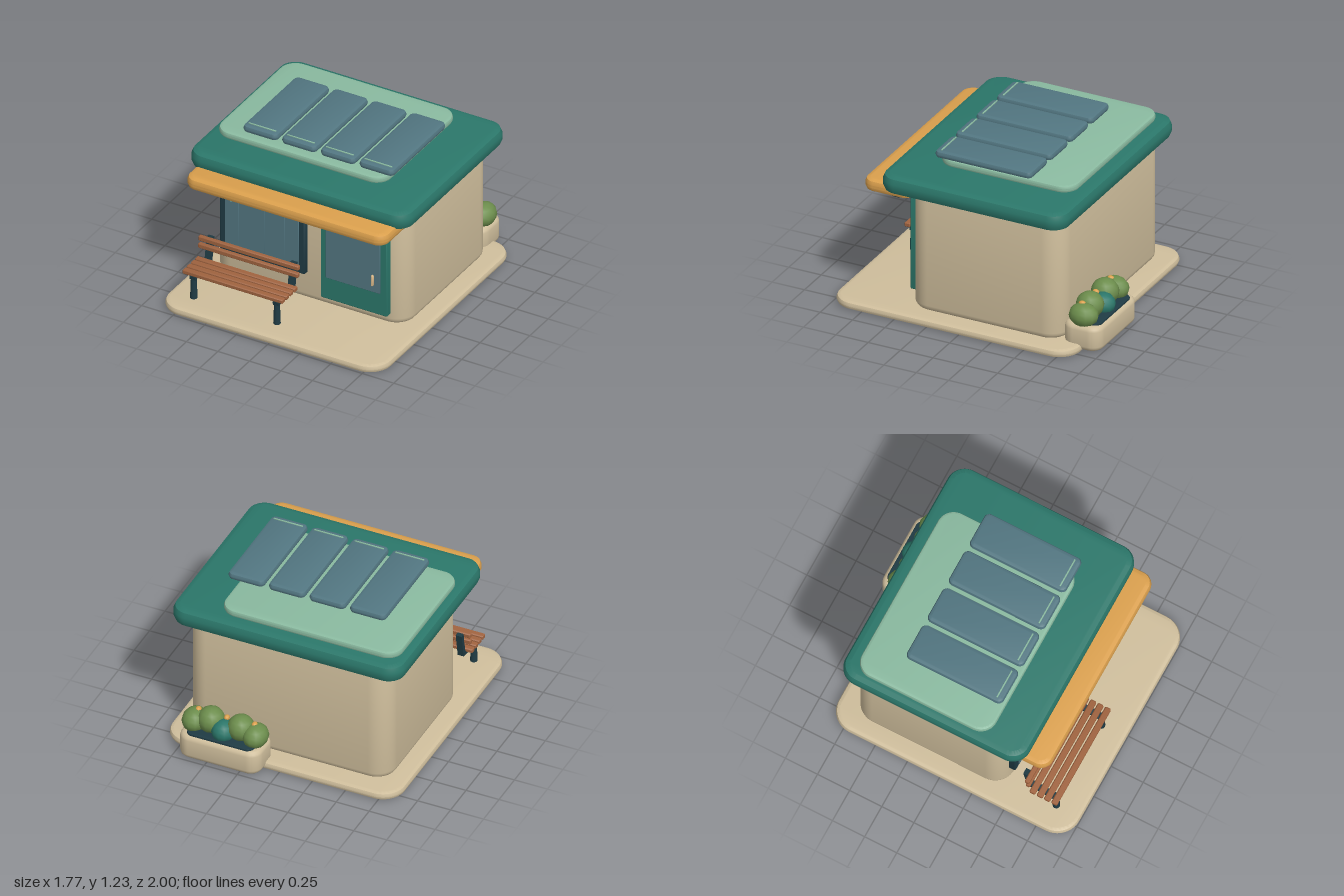
import * as THREE from 'three';
import { toCreasedNormals } from 'three/addons/utils/BufferGeometryUtils.js';

const flat = (name, color, side = THREE.FrontSide) => {
  const m = new THREE.MeshStandardMaterial({ color, side });
  m.name = name;
  return m;
};

export function createModel() {
  const model = new THREE.Group();
  model.name = 'kiosk';
  const stone = flat('stone', 0xcfbe9c);
  const teal = flat('teal', 0x2b776a);
  const mint = flat('mint', 0x8abaa0);
  const amber = flat('amber', 0xdba04d);
  const glass = flat('glass', 0x527681);
  const navy = flat('navy', 0x1f3b44);
  const wood = flat('wood', 0xa0633f);
  const leaf = flat('leaf', 0x6c8d4c);
  const brass = flat('brass', 0xd9b98a);

  const add = (name, geo, mat, parent = model) => {
    const mesh = new THREE.Mesh(geo, mat);
    mesh.name = name;
    parent.add(mesh);
    return mesh;
  };
  const group = (name) => {
    const g = new THREE.Group();
    g.name = name;
    model.add(g);
    return g;
  };

  // Rounded rectangle with bevelled rims, extruded along z, centred on the origin
  const rounded = (w, h, d, r, b, segments = 2) => {
    const s = new THREE.Shape();
    const x = w / 2, y = h / 2;
    s.moveTo(-x + r, -y);
    s.lineTo(x - r, -y).absarc(x - r, -y + r, r, -Math.PI / 2, 0);
    s.lineTo(x, y - r).absarc(x - r, y - r, r, 0, Math.PI / 2);
    s.lineTo(-x + r, y).absarc(-x + r, y - r, r, Math.PI / 2, Math.PI);
    s.lineTo(-x, -y + r).absarc(-x + r, -y + r, r, Math.PI, Math.PI * 1.5);
    const geo = new THREE.ExtrudeGeometry(s, {
      depth: d - 2 * b, bevelThickness: b, bevelSize: b, bevelOffset: -b,
      bevelSegments: segments, curveSegments: 8,
    });
    geo.translate(0, 0, b - d / 2);
    return toCreasedNormals(geo, 0.6);
  };
  // Lying slab: rounded in plan
  const slab = (name, mat, [x0, x1], [y0, y1], [z0, z1], r, b, parent, segments) => {
    const geo = rounded(x1 - x0, z1 - z0, y1 - y0, r, b, segments).rotateX(-Math.PI / 2);
    return add(name, geo.translate((x0 + x1) / 2, (y0 + y1) / 2, (z0 + z1) / 2), mat, parent);
  };
  // Standing panel: rounded as seen from the front
  const panel = (name, mat, [x0, x1], [y0, y1], [z0, z1], r, b, parent) => {
    const geo = rounded(x1 - x0, y1 - y0, z1 - z0, r, b, 1);
    return add(name, geo.translate((x0 + x1) / 2, (y0 + y1) / 2, (z0 + z1) / 2), mat, parent);
  };

  // Building shell
  slab('base', stone, [-0.884, 0.884], [0, 0.06], [-0.87, 1], 0.17, 0.028);
  slab('walls', stone, [-0.765, 0.765], [0.06, 1.0], [-0.735, 0.445], 0.15, 0.05, model, 4);
  slab('roof', teal, [-0.875, 0.875], [0.957, 1.09], [-0.8, 0.63], 0.13, 0.047);
  slab('roofDeck', mint, [-0.815, 0.535], [1.085, 1.138], [-0.7, 0.345], 0.12, 0.02);
  slab('canopy', amber, [-0.798, 0.798], [0.9, 0.992], [0.4, 0.79], 0.09, 0.036);
  slab('canopyLightStrip', brass, [-0.635, 0.645], [0.878, 0.905], [0.615, 0.655], 0.006, 0.004);

  // Solar panels with a thin mint line near the front edge
  const solar = group('solarPanels');
  for (let i = 0; i < 4; i++) {
    const x = -0.458 + i * 0.307;
    slab('solarPanel', glass, [x - 0.139, x + 0.139], [1.17, 1.225], [-0.42, 0.33], 0.04, 0.026, solar);
    slab('solarPanelLine', mint, [x - 0.11, x + 0.11], [1.223, 1.231], [0.277, 0.287], 0.003, 0.002, solar);
  }

  // Window
  const win = group('window');
  panel('windowFrame', navy, [-0.68, -0.005], [0.28, 0.825], [0.43, 0.485], 0.012, 0.008, win);
  panel('windowGlass', glass, [-0.635, -0.05], [0.32, 0.777], [0.48, 0.493], 0.005, 0.003, win);
  for (const [x0, x1] of [[-0.59, -0.525], [-0.38, -0.32], [-0.22, -0.16]]) {
    panel('windowStripe', glass, [x0, x1], [0.325, 0.765], [0.49, 0.498], 0.004, 0.002, win);
  }
  const glint = new THREE.CircleGeometry(0.062, 8, -Math.PI / 2, Math.PI / 2);
  glint.scale(0.6, 1, 1).translate(-0.59, 0.763, 0.5);
  add('windowGlint', glint, mint, win);

  // Door
  const door = group('door');
  panel('doorLeaf', teal, [0.12, 0.65], [0.143, 0.9], [0.42, 0.488], 0.012, 0.008, door);
  panel('doorGlass', glass, [0.168, 0.6], [0.322, 0.825], [0.48, 0.5], 0.006, 0.004, door);
  panel('doorHandle', brass, [0.537, 0.553], [0.378, 0.465], [0.498, 0.518], 0.007, 0.004, door);

  // Ring lamps under the canopy
  for (const side of [-1, 1]) {
    const ring = new THREE.TorusGeometry(0.044, 0.011, 8, 20).rotateX(Math.PI / 2);
    add('canopyLamp', ring.translate(side * 0.665, 0.872, 0.565), navy);
  }

  // Bench
  const bench = group('bench');
  const slat = (y, z, h, d) => {
    panel('benchSlat', wood, [-0.765, 0.03], [y - h / 2, y + h / 2], [z - d / 2, z + d / 2], 0.01, 0.007, bench);
  };
  for (const z of [0.83, 0.773, 0.717, 0.66]) slat(0.268, z, 0.034, 0.044);
  slat(0.42, 0.618, 0.038, 0.034);
  slat(0.365, 0.625, 0.038, 0.034);
  for (const x of [-0.695, -0.035]) {
    const leg = new THREE.CylinderGeometry(0.019, 0.026, 0.2, 12);
    add('benchLeg', leg.translate(x, 0.16, 0.812), navy, bench);
    const arm = add('benchSeatRail', new THREE.BoxGeometry(0.045, 0.026, 0.225), navy, bench);
    arm.position.set(x, 0.238, 0.72);
    arm.rotation.x = 0.12;
    const back = add('benchBackPost', new THREE.BoxGeometry(0.045, 0.19, 0.032), navy, bench);
    back.position.set(x, 0.338, 0.598);
    back.rotation.x = -0.17;
  }

  // Planter behind the building
  const planter = group('planter');
  slab('planterBox', stone, [0.1, 0.715], [0.015, 0.2], [-1, -0.71], 0.09, 0.035, planter, 3);
  slab('soil', navy, [0.155, 0.66], [0.19, 0.212], [-0.975, -0.735], 0.05, 0.006, planter);
  const ball = (name, mat, x, y, z, rx, ry, rz) => {
    const geo = new THREE.SphereGeometry(1, 12, 8).scale(rx, ry, rz);
    add(name, geo.translate(x, y, z), mat, planter);
  };
  for (const side of [-1, 1]) {
    ball('outerBush', leaf, 0.41 + side * 0.23, 0.255, -0.85, 0.09, 0.085, 0.108);
    ball('innerBush', leaf, 0.41 + side * 0.113, 0.28, -0.838, 0.097, 0.095, 0.1);
    ball('flower', amber, 0.41 + side * 0.213, 0.327, -0.83, 0.022, 0.022, 0.027);
  }
  ball('middleBush', teal, 0.41, 0.245, -0.88, 0.085, 0.08, 0.09);
  ball('flower', amber, 0.41, 0.32, -0.825, 0.02, 0.02, 0.025);

  return model;
}
